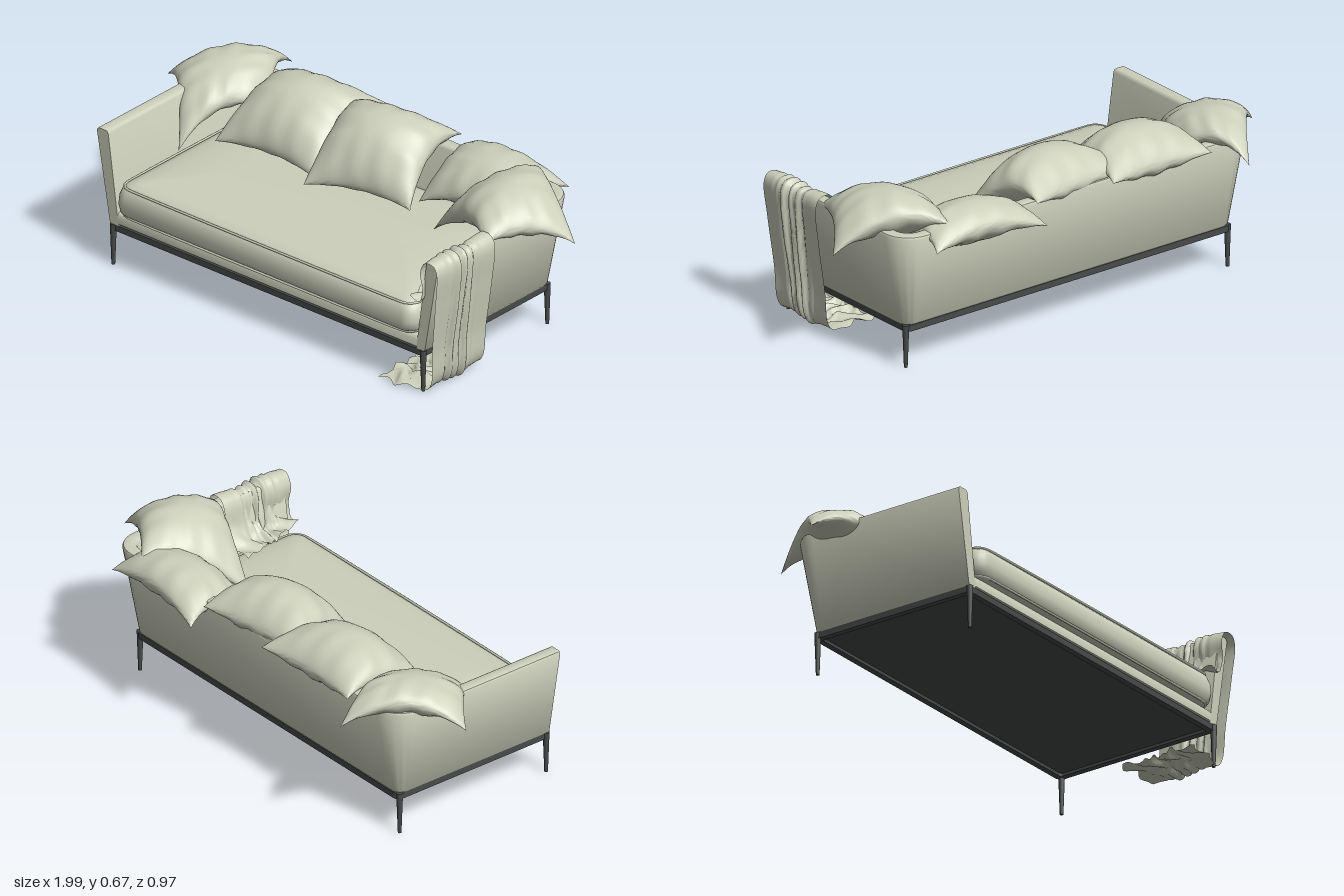
import * as THREE from 'three';
import { toCreasedNormals } from 'three/addons/utils/BufferGeometryUtils.js';

const fabric = new THREE.MeshStandardMaterial({ color: 0xccd0bb });
const cloth = new THREE.MeshStandardMaterial({ color: 0xccd0bb, side: THREE.DoubleSide });
const dark = new THREE.MeshStandardMaterial({ color: 0x484a4a });
const CX = -0.015; // the sofa sits slightly off centre because of the pillows
const CZ = 0.09;
const V = (x, y, z) => new THREE.Vector3(x, y, z);

// Skin a list of cross-sections; rings may be closed and the two ends capped.
function loft(rings, { closed = true, caps = false, crease = 0.7 } = {}) {
  const n = rings[0].length, pos = [], idx = [];
  rings.forEach(r => r.forEach(p => pos.push(p.x, p.y, p.z)));
  for (let i = 0; i < rings.length - 1; i++) {
    for (let j = 0; j < (closed ? n : n - 1); j++) {
      const k = (j + 1) % n, a = i * n + j, b = i * n + k;
      idx.push(a, b, b + n, a, b + n, a + n);
    }
  }
  if (caps) [0, rings.length - 1].forEach(i => {
    const c = rings[i].reduce((s, p) => s.add(p), V(0, 0, 0)).divideScalar(n);
    const m = pos.length / 3;
    pos.push(c.x, c.y, c.z);
    for (let j = 0; j < n; j++) {
      const a = i * n + j, b = i * n + (j + 1) % n;
      if (i) idx.push(m, a, b); else idx.push(m, b, a);
    }
  });
  const g = new THREE.BufferGeometry();
  g.setAttribute('position', new THREE.Float32BufferAttribute(pos, 3));
  g.setIndex(idx);
  return toCreasedNormals(g, crease);
}

// Rounded rectangle on the ground plane, counter-clockwise from above.
function roundRect(hx, hz, r, y, cx = CX, cz = CZ, steps = 6) {
  const pts = [];
  for (let k = 0; k < 4; k++) {
    const sx = k === 0 || k === 3 ? 1 : -1, sz = k < 2 ? -1 : 1;
    for (let i = 0; i <= steps; i++) {
      const a = (k + i / steps) * Math.PI / 2;
      pts.push(V(cx + sx * (hx - r) + r * Math.cos(a), y, cz + sz * (hz - r) - r * Math.sin(a)));
    }
  }
  return pts;
}

// Flared wall that runs along both arms and the back with rounded corners.
function shellGeometry() {
  const hx = 0.77, front = 0.45, back = -0.27, r = 0.045;
  const path = [[hx, front, 1, 0]];
  for (let c = 0; c < 2; c++) for (let i = 0; i <= 8; i++) {
    const a = (c + i / 8) * Math.PI / 2, nx = Math.cos(a), nz = -Math.sin(a);
    path.push([(c ? -1 : 1) * (hx - r) + r * nx, back + r + r * nz, nx, nz]);
  }
  path.push([-hx, front, -1, 0]);
  const profile = [[0.054, 0.55], [0.062, 0.547], [0.066, 0.538], [0.003, 0.178], [-0.003, 0.17],
    [-0.04, 0.17], [0.01, 0.538], [0.015, 0.547], [0.022, 0.55]];
  return loft(path.map(([x, z, nx, nz]) =>
    profile.map(([d, y]) => V(CX + x + nx * d, y, z + nz * d))), { caps: true });
}

// Pillow between four corners (counter-clockwise from above): thick in the
// middle, pinched at the edges, and lifted where it bends over the sofa.
function pillowGeometry(corners, thick, liftV, liftU, seed) {
  const [a, b, c, d] = corners.map(p => V(...p)), N = 30;
  const normal = b.clone().add(c).sub(a).sub(d)
    .cross(d.clone().add(c).sub(a).sub(b)).normalize();
  const s = i => Math.sin((i / N - 0.5) * Math.PI);
  const point = (u, v, side) => {
    const u1 = u * (1 - 0.1 * (1 - v * v)), v1 = v * (1 - 0.1 * (1 - u * u));
    const p = a.clone().lerp(b, (u1 + 1) / 2).lerp(d.clone().lerp(c, (u1 + 1) / 2), (v1 + 1) / 2);
    p.y += liftV * (1 - v * v) + liftU * (1 - u * u) * v * v;
    const f = Math.max(0, (1 - u * u) * (1 - v * v));
    // soft creases running in from the seams
    const crease = Math.sin(u * 13 + seed) * v * v * (1 - u * u) + Math.sin(v * 12 + seed * 2) * u * u * (1 - v * v);
    return p.addScaledVector(normal, side * (thick * Math.pow(f, 0.55) + 0.012 * crease * Math.sqrt(f)));
  };
  const rings = [];
  for (let j = 0; j <= N; j++) {
    const ring = [];
    for (let i = 0; i <= N; i++) ring.push(point(s(i), s(j), 1));
    for (let i = N - 1; i > 0; i--) ring.push(point(s(i), s(j), -1));
    rings.push(ring);
  }
  return loft(rings, { crease: 1.2 });
}

// Throw: a pleated sheet from the seat, over the arm, down to the floor.
function throwGeometry() {
  const path = new THREE.CatmullRomCurve3([
    [0.63, 0.385], [0.70, 0.392], [0.742, 0.44], [0.758, 0.53], [0.778, 0.56], [0.822, 0.56],
    [0.84, 0.53], [0.828, 0.38], [0.802, 0.18], [0.79, 0.05], [0.765, 0.014], [0.66, 0.016], [0.56, 0.012],
  ].map(([x, y]) => V(x, y, 0)), false, 'centripetal');
  const rows = 90, cols = 80, rings = [];
  for (let i = 0; i <= rows; i++) {
    const t = i / rows, p = path.getPointAt(t), tan = path.getTangentAt(t);
    const seat = THREE.MathUtils.smoothstep(0.2 - t, 0, 0.2);
    const floor = THREE.MathUtils.smoothstep(t, 0.82, 0.9);
    const ring = [];
    for (let j = 0; j <= cols; j++) {
      const w = j / cols;
      const front = 0.45 + 0.025 * THREE.MathUtils.clamp(p.y / 0.5, 0, 1);
      let z = 0.155 + (front - 0.155) * w;
      const middle = Math.exp(-Math.pow((w - 0.52) / 0.24, 4));
      const fold = Math.sin(w * 52 + 1.2 * Math.sin(t * 7)) * 0.6 + Math.sin(w * 29 + t * 4) * 0.4;
      let h = 0.011 * fold * middle + 0.004 * Math.sin(w * 9 + t * 5);
      // crumpled on the seat and the floor
      h += (0.008 * seat + 0.007 * floor) * Math.sin(w * 21 + t * 60);
      z += floor * (0.03 * w + 0.012 * Math.sin(t * 70));
      const x = p.x - tan.y * h + seat * 0.09 * (w - 0.2) - floor * 0.05 * (0.5 - w) * (t - 0.85);
      ring.push(V(x, Math.max(0.002, p.y + tan.x * h), z));
    }
    rings.push(ring);
  }
  return loft(rings, { closed: false, crease: 1.2 });
}

export function createModel() {
  const model = new THREE.Group();
  const add = (name, geometry, material) => {
    const m = new THREE.Mesh(geometry, material);
    m.name = name;
    model.add(m);
    return m;
  };

  // Metal frame with an underside panel
  const flat = pts => pts.map(p => new THREE.Vector2(p.x, -p.z));
  const ringShape = new THREE.Shape(flat(roundRect(0.767, 0.36, 0.025, 0)));
  ringShape.holes.push(new THREE.Path(flat(roundRect(0.742, 0.335, 0.01, 0)).reverse()));
  add('baseFrame', new THREE.ExtrudeGeometry(ringShape, { depth: 0.025, bevelEnabled: false })
    .rotateX(-Math.PI / 2).translate(0, 0.145, 0), dark);
  add('undersidePanel', new THREE.BoxGeometry(1.49, 0.012, 0.68).translate(CX, 0.163, CZ), dark);

  // Tapered legs
  for (const x of [-0.76, 0.76]) for (const z of [-0.345, 0.355]) {
    add('leg', new THREE.CylinderGeometry(0.013, 0.007, 0.17, 14).translate(CX + x, 0.085, CZ + z), dark);
  }

  // Upholstered body
  add('armsAndBack', shellGeometry(), fabric);
  const deck = [[0.01, 0.17], [0, 0.178], [0, 0.21], [0.006, 0.219], [0.016, 0.222]];
  add('seatDeck', loft(deck.map(([d, y]) => roundRect(0.765 - d, 0.36 - d, 0.03, y)), { caps: true }), fabric);

  // Seat cushion with piping
  const seat = (inset, y) => roundRect(0.735 - inset, 0.378 - inset, Math.max(0.012, 0.055 - inset * 0.3), y, CX, 0.102);
  const profile = [[0.05, 0.218], [0.022, 0.224], [0.006, 0.242], [0, 0.275], [0.003, 0.31], [0.012, 0.337],
    [0.028, 0.353], [0.06, 0.364], [0.12, 0.373], [0.2, 0.38], [0.3, 0.384]];
  add('seatCushion', loft(profile.map(([d, y]) => seat(d, y)), { caps: true, crease: 1 }), fabric);
  for (const [d, y] of [[0.018, 0.347], [0.016, 0.23]]) {
    const curve = new THREE.CatmullRomCurve3(seat(d, y), true, 'centripetal');
    add('cushionPiping', new THREE.TubeGeometry(curve, 160, 0.005, 6, true), fabric);
  }

  // Pillows: corners, half thickness, two lifts
  const pillows = [
    [[[-0.72, 0.37, 0.14], [-0.55, 0.46, -0.18], [-0.70, 0.50, -0.48], [-1.0, 0.49, -0.12]], 0.075, 0.1, 0.1],
    [[[-0.62, 0.41, 0.05], [-0.15, 0.41, 0.03], [-0.13, 0.55, -0.39], [-0.61, 0.54, -0.37]], 0.105, 0.075, 0.02],
    [[[-0.16, 0.40, 0.08], [0.285, 0.41, -0.01], [0.22, 0.56, -0.38], [-0.25, 0.56, -0.33]], 0.105, 0.08, 0.02],
    [[[0.25, 0.40, -0.1], [0.70, 0.40, -0.1], [0.72, 0.50, -0.41], [0.22, 0.49, -0.44]], 0.085, 0.075, 0.06],
    [[[0.81, 0.53, 0.17], [0.99, 0.47, -0.13], [0.61, 0.57, -0.36], [0.41, 0.38, 0.0]], 0.095, 0.08, 0.05],
  ];
  pillows.forEach(([corners, thick, liftV, liftU], i) =>
    add('pillow', pillowGeometry(corners, thick, liftV, liftU, i * 1.7), fabric));

  // Throw blanket over the left arm
  add('throwBlanket', throwGeometry(), cloth);
  return model;
}
